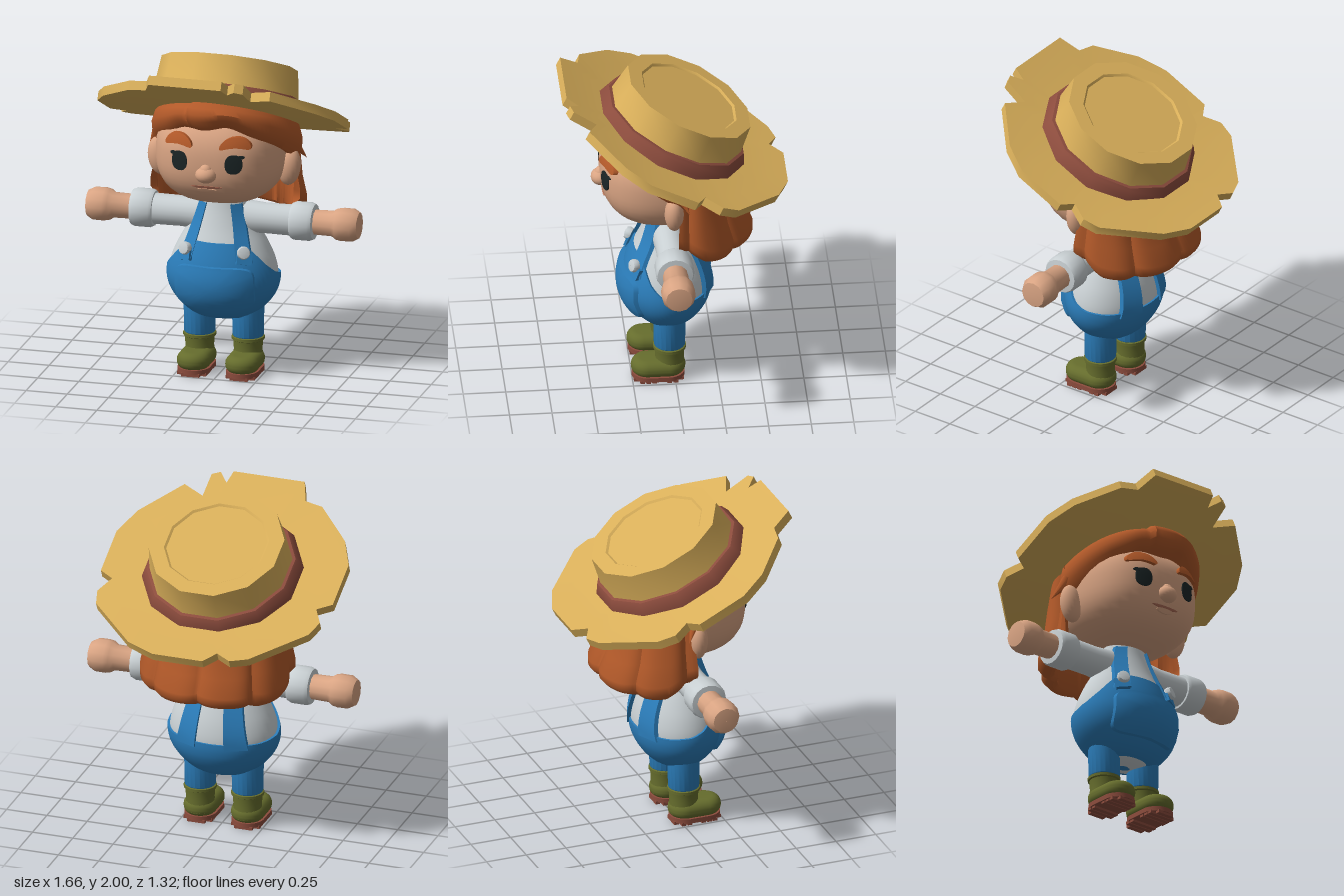
import * as THREE from 'three';
import { toCreasedNormals } from 'three/addons/utils/BufferGeometryUtils.js';
import { ParametricGeometry } from 'three/addons/geometries/ParametricGeometry.js';

const paint = (name, color) => new THREE.MeshStandardMaterial({ name, color, side: THREE.DoubleSide });
const V2 = (p) => new THREE.Vector2(p[0], p[1]);
const lerp = THREE.MathUtils.lerp;

// Piecewise linear lookup in [key, value] pairs
function lookup(table, k) {
  if (k <= table[0][0]) return table[0][1];
  for (let i = 1; i < table.length; i++) {
    const [a, va] = table[i - 1], [b, vb] = table[i];
    if (k <= b) return lerp(va, vb, (k - a) / (b - a));
  }
  return table[table.length - 1][1];
}

const surface = (fn, nu, nv, crease = 0.7) =>
  toCreasedNormals(new ParametricGeometry((u, v, t) => t.set(...fn(u, v)), nu, nv), crease);
const lathe = (pts, seg, crease = 0.7, start = 0) =>
  toCreasedNormals(new THREE.LatheGeometry(pts.map(V2), seg, start), crease);

// Pear-shaped torso: radius by height, flattened in z
const bodyCurve = new THREE.SplineCurve([[0.001, 0.33], [0.1, 0.335], [0.18, 0.365], [0.255, 0.43], [0.308, 0.51],
  [0.326, 0.6], [0.306, 0.7], [0.262, 0.8], [0.205, 0.9], [0.16, 1.0], [0.135, 1.08]].map(V2)).getPoints(44);
const bodyTable = bodyCurve.map((p) => [p.y, p.x]);
const bodyR = (y) => lookup(bodyTable, y);
const BZ = 0.035, FLAT = 0.78;
const bodyFront = (x, y) => BZ + FLAT * Math.sqrt(Math.max(0, bodyR(y) ** 2 - x * x)) + 0.012;

// Head: rounded-box ellipsoid
const HEAD = { y: 1.37, z: 0.045, a: 0.383, b: 0.31, c: 0.385, n: 2.5 };
const headFront = (x, y) => {
  const { a, b, c, n } = HEAD;
  const k = 1 - Math.abs(x / a) ** n - Math.abs((y - HEAD.y) / b) ** n;
  return HEAD.z + c * Math.max(0, k) ** (1 / n);
};

// Raised oval plate lying on a front surface
function plate(cx, cy, rx, ry, surf, height, power = 2, bend = 0) {
  const f = 2 / power;
  return surface((u, v) => {
    const an = u * Math.PI * 2, s = Math.min(1, v * 8 / 7);
    const co = Math.cos(an), si = -Math.sin(an);
    const dx = rx * s * Math.sign(co) * Math.abs(co) ** f;
    const y = cy + ry * s * Math.sign(si) * Math.abs(si) ** f - bend * dx * dx;
    return [cx + dx, y, surf(cx + dx, y) + (v > 0.95 ? -0.012 : height)];
  }, 32, 8);
}

// Strap on the body; side = 1 front, -1 back
function strap(x0, x1, y0, y1, w0, w1, side) {
  return surface((u, v) => {
    const i = Math.round(u * 3), y = lerp(y0, y1, v);
    const x = lerp(x0, x1, v) + [-1, -1, 1, 1][i] * lerp(w0, w1, v);
    const out = FLAT * Math.sqrt(Math.max(0, bodyR(y) ** 2 - x * x)) + [-0.02, 0.025, 0.025, -0.02][i];
    return [side * x, y, BZ + side * out];
  }, 3, 10);
}

// Ragged brim outline seen from above
const outline = [[-0.11, -0.65], [0.2, -0.65], [0.375, -0.585], [0.665, -0.34], [0.69, -0.25], [0.635, -0.15],
  [0.72, -0.107], [0.72, 0.17], [0.64, 0.32], [0.42, 0.525], [0.29, 0.47], [0.28, 0.61], [0.23, 0.63], [0.175, 0.57],
  [0.155, 0.645], [-0.285, 0.645], [-0.33, 0.53], [-0.44, 0.51], [-0.645, 0.32], [-0.72, 0.17], [-0.72, -0.107],
  [-0.635, -0.155], [-0.69, -0.245], [-0.655, -0.34], [-0.37, -0.585], [-0.265, -0.62], [-0.175, -0.575]];

export function createModel() {
  const root = new THREE.Group();
  const straw = paint('straw', 0xd9af5a), brown = paint('leather brown', 0x8c4c3d), skin = paint('skin', 0xd9a483),
    hairMat = paint('auburn hair', 0xb25929), shirt = paint('shirt white', 0xc9d0d3), denim = paint('denim blue', 0x2b7dba),
    olive = paint('boot olive', 0x666d2d), dark = paint('eye dark', 0x1b2526), lip = paint('lip', 0xab6a54);
  const add = (name, geo, mat, parent = root, pos = [0, 0, 0]) => {
    const m = new THREE.Mesh(geo, mat);
    m.name = name;
    m.position.set(...pos);
    parent.add(m);
    return m;
  };

  // Tilted straw hat; the brim curls up at front and back
  const hat = new THREE.Group();
  hat.name = 'hat';
  hat.position.set(0, 1.63, 0);
  hat.rotation.x = -0.448;
  root.add(hat);
  const brimRows = [[0.5, 0.025], [0.7, 0.025], [0.85, 0.025], [1, 0.025], [1, -0.03], [0.85, -0.03], [0.7, -0.03], [0.5, -0.03], [0.02, -0.03]];
  const n = outline.length;
  add('hatBrim', surface((u, v) => {
    const f = u * n, i = Math.min(n - 1, Math.floor(f + 1e-6)), a = outline[i], b = outline[(i + 1) % n];
    const [s, h] = brimRows[Math.round(v * 8)];
    const z = s * lerp(a[1], b[1], f - i) / 0.901;
    return [s * lerp(a[0], b[0], f - i), h - 0.055 * (1 - (z / 0.72) ** 2), z];
  }, n, 8, 0.6), straw, hat);
  const turn = Math.PI / 12;
  add('hatCrown', lathe([[0.45, -0.05], [0.424, 0.05], [0.402, 0.228], [0.312, 0.228], [0.3, 0.217], [0.001, 0.217]], 12, 0.6, turn), straw, hat);
  add('hatBand', lathe([[0.482, -0.05], [0.476, -0.01], [0.452, 0.04], [0.442, 0.052], [0.41, 0.056]], 12, 0.6, turn), brown, hat);

  // Head
  const headGeo = new THREE.SphereGeometry(1, 40, 28);
  const p = headGeo.attributes.position;
  for (let i = 0; i < p.count; i++) {
    const v = new THREE.Vector3().fromBufferAttribute(p, i);
    const k = (Math.abs(v.x) ** HEAD.n + Math.abs(v.y) ** HEAD.n + Math.abs(v.z) ** HEAD.n) ** (-1 / HEAD.n);
    p.setXYZ(i, v.x * k * HEAD.a, v.y * k * HEAD.b, v.z * k * HEAD.c);
  }
  add('head', toCreasedNormals(headGeo, 1), skin, root, [0, HEAD.y, HEAD.z]);
  add('nose', new THREE.SphereGeometry(1, 20, 14).scale(0.064, 0.05, 0.06), skin, root, [0, 1.31, 0.42]);
  add('noseBridge', new THREE.SphereGeometry(1, 16, 12).scale(0.04, 0.045, 0.04), skin, root, [0, 1.332, 0.42]);
  add('mouth', plate(0, 1.229, 0.094, 0.009, headFront, 0.005, 1.6, -0.5), lip);
  add('lowerLip', plate(0, 1.209, 0.058, 0.013, headFront, 0.012, 2, -1), skin);
  for (const s of [-1, 1]) {
    add('eye', plate(s * 0.164, 1.382, 0.049, 0.058, headFront, 0.006, 2.4), dark);
    add('eyelash', plate(s * 0.203, 1.425, 0.022, 0.01, headFront, 0.007), dark);
    add('eyebrow', plate(s * 0.172, 1.516, 0.088, 0.03, headFront, 0.025, 2.5, 4), hairMat);
    const ear = add('ear', new THREE.SphereGeometry(1, 20, 16).scale(0.068, 0.115, 0.058), skin, root, [s * 0.395, 1.275, 0.022]);
    ear.rotation.z = -s * 0.12;
  }

  // Fringe parted off-centre, sweeping to the temples: [radius, blend from lower edge to upper edge]
  const fringe = [[0.33, 0.06], [0.43, 0], [0.468, 0.2], [0.474, 0.5], [0.452, 0.82], [0.38, 1.2]];
  const bump = (x, c, w) => Math.exp(-(((x - c) / w) ** 2));
  add('fringe', surface((u, v) => {
    const th = lerp(-1.66, 1.66, u), [r0, h] = fringe[Math.round(v * 5)];
    const r = r0 - (th < -0.24 ? 0.03 : 0);
    const z = r * Math.cos(th);
    const low = 1.33 + 0.6 * z + 0.04 * bump(th, 0.32, 0.25) + 0.03 * bump(th, -0.4, 0.2);
    return [r * 0.97 * Math.sin(th), lerp(low, 1.58 + 0.37 * z, h), z];
  }, 56, 5, 0.8), hairMat);
  for (const s of [-1, 1]) {
    const flick = add('templeLock', new THREE.ConeGeometry(0.04, 0.16, 8), hairMat, root, [s * 0.44, 1.37, -0.03]);
    flick.rotation.set(0.5, 0, s * (0.5 - Math.PI));
  }

  // Back hair, grooved into locks: [height, x radius, z radius], down the inside, then up the outside
  const locks = [[1, 0.37, 0.28], [0.4, 0.37, 0.31], [0.05, 0.36, 0.32], [0, 0.39, 0.345], [0.04, 0.43, 0.385],
    [0.11, 0.462, 0.41], [0.2, 0.462, 0.41], [0.42, 0.438, 0.36], [0.7, 0.425, 0.325], [1, 0.4, 0.29]];
  const hemline = [[-1, 0.925], [-0.6, 0.91], [-0.3, 0.925], [0, 0.99], [0.2, 1.02]];
  add('backHair', surface((u, v) => {
    const t0 = 1.42, t1 = Math.PI * 2 - t0, th = lerp(t0, t1, u), row = Math.round(v * 9);
    const e = Math.min(1, (th - t0) / 0.15, (t1 - th) / 0.15);
    const [h, a, b] = locks[row];
    const groove = 1.01 - 0.075 * (1 - Math.abs(Math.sin(4 * th))) ** 2 + (row < 3 ? (1 - e) * 0.15 : 0);
    const z = -0.06 + b * groove * Math.cos(th);
    const end = lookup(hemline, Math.cos(th)) - 0.012 * Math.abs(Math.sin(4 * th)) + 0.008;
    return [a * groove * Math.sin(th), lerp(end, 1.57 + 0.48 * z, h), z];
  }, 88, 9, 0.8), hairMat);

  // Torso
  const torso = add('shirtBody', new THREE.LatheGeometry(bodyCurve, 40), shirt, root, [0, 0, BZ]);
  torso.scale.z = FLAT;

  // Overalls: a shell whose top edge falls from bib to back
  const edge = [[0, 0.83], [0.66, 0.83], [0.9, 0.77], [1.1, 0.7], [1.35, 0.645], [1.65, 0.615], [2.2, 0.6], [3.2, 0.6]];
  add('overalls', surface((u, v) => {
    const th = (u * 2 - 1) * Math.PI, top = lookup(edge, Math.abs(th));
    const y = lerp(0.326, top, Math.min(1, v * 20 / 19));
    const r = v < 0.01 ? 0 : bodyR(y) + (v > 0.97 ? -0.01 : 0.014);
    return [r * Math.sin(th), y, BZ + FLAT * r * Math.cos(th)];
  }, 64, 20), denim);
  add('pocket', plate(0, 0.568, 0.24, 0.133, bodyFront, 0.032, 5), denim);

  // Boot outline seen from above
  const stadium = (r, len) => {
    const s = new THREE.Shape();
    s.absarc(0, len, r, 0, Math.PI);
    s.absarc(0, -len, r, Math.PI, Math.PI * 2);
    return s;
  };
  const slab = (r, len, depth, bevel) => toCreasedNormals(new THREE.ExtrudeGeometry(stadium(r - bevel, len),
    { depth: depth - 2 * bevel, bevelEnabled: bevel > 0, bevelSize: bevel, bevelThickness: bevel, bevelSegments: 5, curveSegments: 10 })
    .translate(0, 0, bevel).rotateX(-Math.PI / 2), 0.7);

  for (const s of [-1, 1]) {
    // Straps with tab and button
    add('backStrap', strap(s * 0.158, s * 0.085, 0.57, 1.07, 0.065, 0.036, -1), denim);
    add('frontStrap', strap(s * 0.182, s * 0.1, 0.72, 1.05, 0.042, 0.027, 1), denim);
    add('strapTab', new THREE.BoxGeometry(0.09, 0.07, 0.03), denim, root, [s * 0.178, 0.75, 0.232]).rotation.set(-0.35, s * 0.5, 0);
    const button = add('button', lathe([[0.001, -0.02], [0.036, -0.02], [0.04, 0], [0.034, 0.017], [0.001, 0.024]], 14),
      shirt, root, [s * 0.178, 0.79, 0.242]);
    button.rotation.set(1.3, 0, -s * 0.4);

    // Arm, built along its own axis and laid sideways
    const arm = new THREE.Group();
    arm.name = s > 0 ? 'leftArm' : 'rightArm';
    arm.position.set(0, 0.948, 0.03);
    arm.rotation.z = -s * Math.PI / 2;
    root.add(arm);
    add('sleeve', lathe([[0.001, 0.02], [0.1, 0.03], [0.1, 0.13], [0.09, 0.25], [0.092, 0.44]], 20), shirt, arm);
    add('cuff', lathe([[0.08, 0.415], [0.105, 0.417], [0.114, 0.435], [0.114, 0.53], [0.105, 0.552], [0.07, 0.556]], 16), shirt, arm);
    add('hand', lathe([[0.074, 0.52], [0.077, 0.665], [0.094, 0.69], [0.1, 0.72], [0.099, 0.785], [0.078, 0.822], [0.001, 0.832]], 12, 0.9), skin, arm);

    // Leg and boot
    const leg = new THREE.Group();
    leg.name = s > 0 ? 'leftLeg' : 'rightLeg';
    leg.position.set(s * 0.147, 0, 0.03);
    root.add(leg);
    add('trouserLeg', lathe([[0.08, 0.21], [0.092, 0.225], [0.095, 0.42], [0.05, 0.46]], 20), denim, leg);
    add('bootShaft', lathe([[0.09, 0.06], [0.084, 0.14], [0.088, 0.195], [0.097, 0.2], [0.097, 0.217], [0.085, 0.222], [0.07, 0.222]], 20), olive, leg);
    add('bootFoot', slab(0.1, 0.06, 0.106, 0.05), olive, leg, [0, 0.03, 0.067]);
    add('bootSole', slab(0.097, 0.058, 0.028, 0), brown, leg, [0, 0.014, 0.067]);
    [-0.066, -0.03, 0.006, 0.094, 0.129, 0.164, 0.199].forEach((z) => {
      const w = z < -0.05 || z > 0.18 ? 0.11 : 0.175;
      add('soleTread', new THREE.BoxGeometry(w, 0.02, 0.028), brown, leg, [0, 0.01, z]);
    });
  }
  return root;
}
